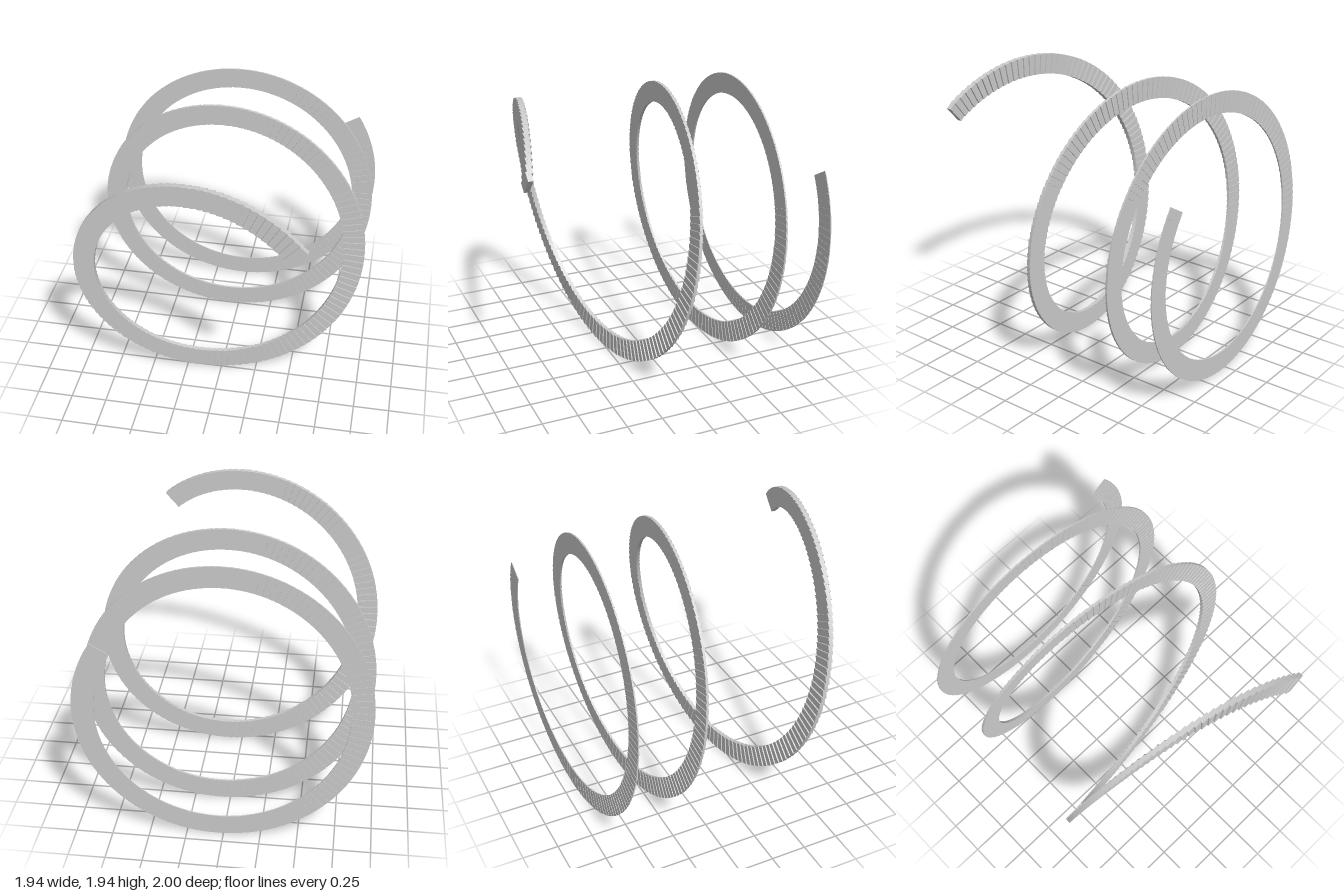
import * as THREE from 'three';

const RADIUS = 0.8975;   // middle of the band
const BAND = 0.145;      // radial width of each block
const LENGTH = 0.07;     // tangential length of each block
const CENTRE_Y = 0.972;
const STEPS = 354;       // 3 degrees per step
const GROWTH = 0.1565;   // pitch growth per quarter turn

export function createModel() {
  const group = new THREE.Group();
  group.name = 'growingSpiral';
  const material = new THREE.MeshStandardMaterial({ color: 0xcccccc, flatShading: true });
  const block = new THREE.BoxGeometry(BAND, LENGTH, 1);

  // Overlapping blocks wind from back to front; pitch and thickness grow together
  for (let i = 0; i <= STEPS; i++) {
    const quarter = -0.34 + i / 30;
    const angle = -quarter * Math.PI / 2;
    const reach = 1.368 * Math.exp(GROWTH * (quarter - 8));
    const mesh = new THREE.Mesh(block, material);
    mesh.name = `spiralBlock${i + 1}`;
    mesh.position.set(RADIUS * Math.cos(angle), CENTRE_Y + RADIUS * Math.sin(angle), reach - 1.368);
    mesh.rotation.z = angle;
    mesh.scale.z = reach * 0.0149;
    group.add(mesh);
  }
  return group;
}
